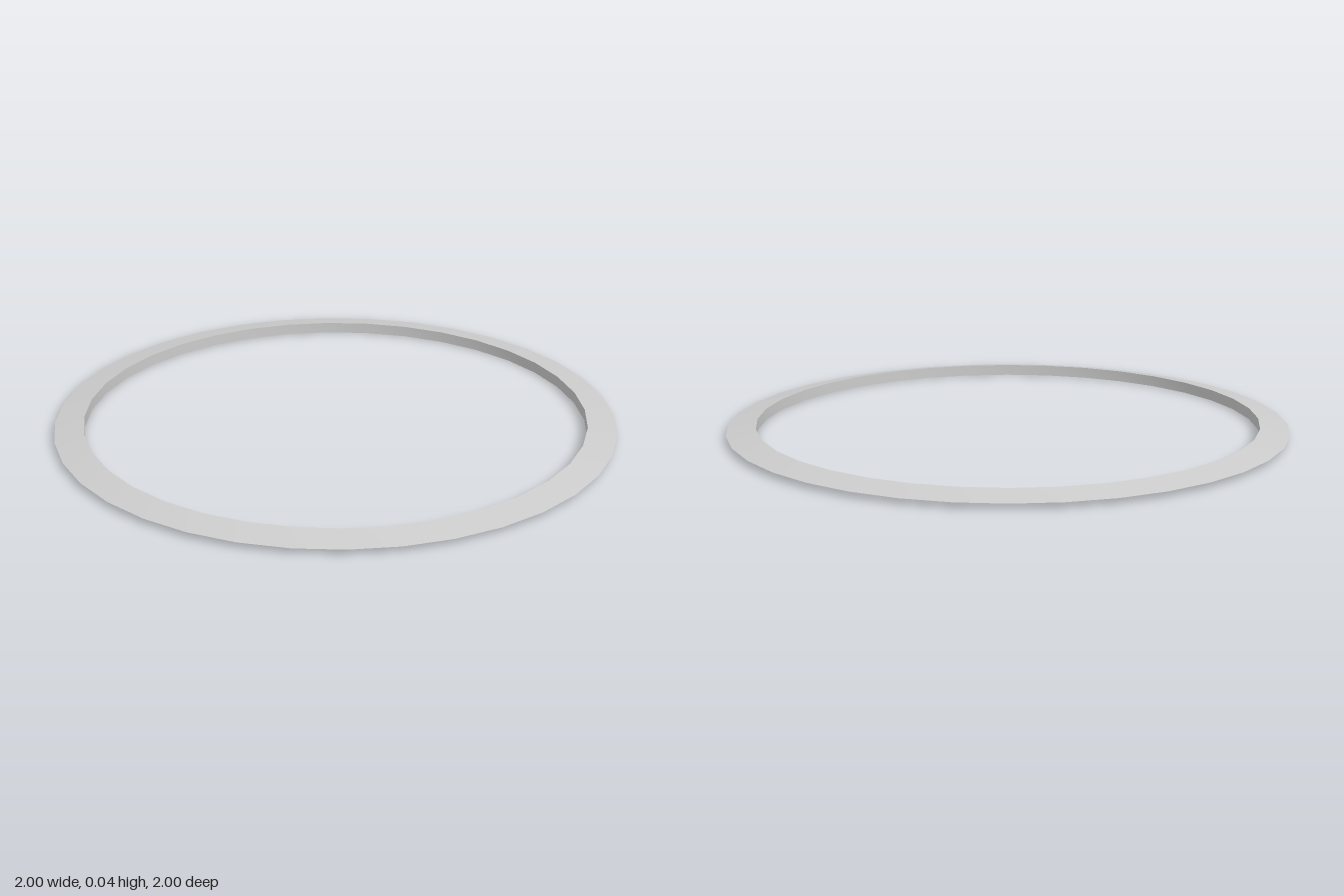
import * as THREE from 'three';
import { toCreasedNormals } from 'three/addons/utils/BufferGeometryUtils.js';

const OUTER = 1, INNER = 0.895, HEIGHT = 0.04, SIDES = 36;

export function createModel() {
  const group = new THREE.Group();
  group.name = 'throwingRing';

  // closed triangular section: sharp outer rim, straight inner wall
  const section = [
    [INNER, 0],
    [OUTER, HEIGHT / 2],
    [INNER, HEIGHT],
    [INNER, 0],
  ].map(([r, y]) => new THREE.Vector2(r, y));

  const geometry = toCreasedNormals(new THREE.LatheGeometry(section, SIDES), Math.PI / 6);
  const ring = new THREE.Mesh(geometry, new THREE.MeshStandardMaterial({ color: 0xcccccc }));
  ring.name = 'ringBlade';
  group.add(ring);

  return group;
}
